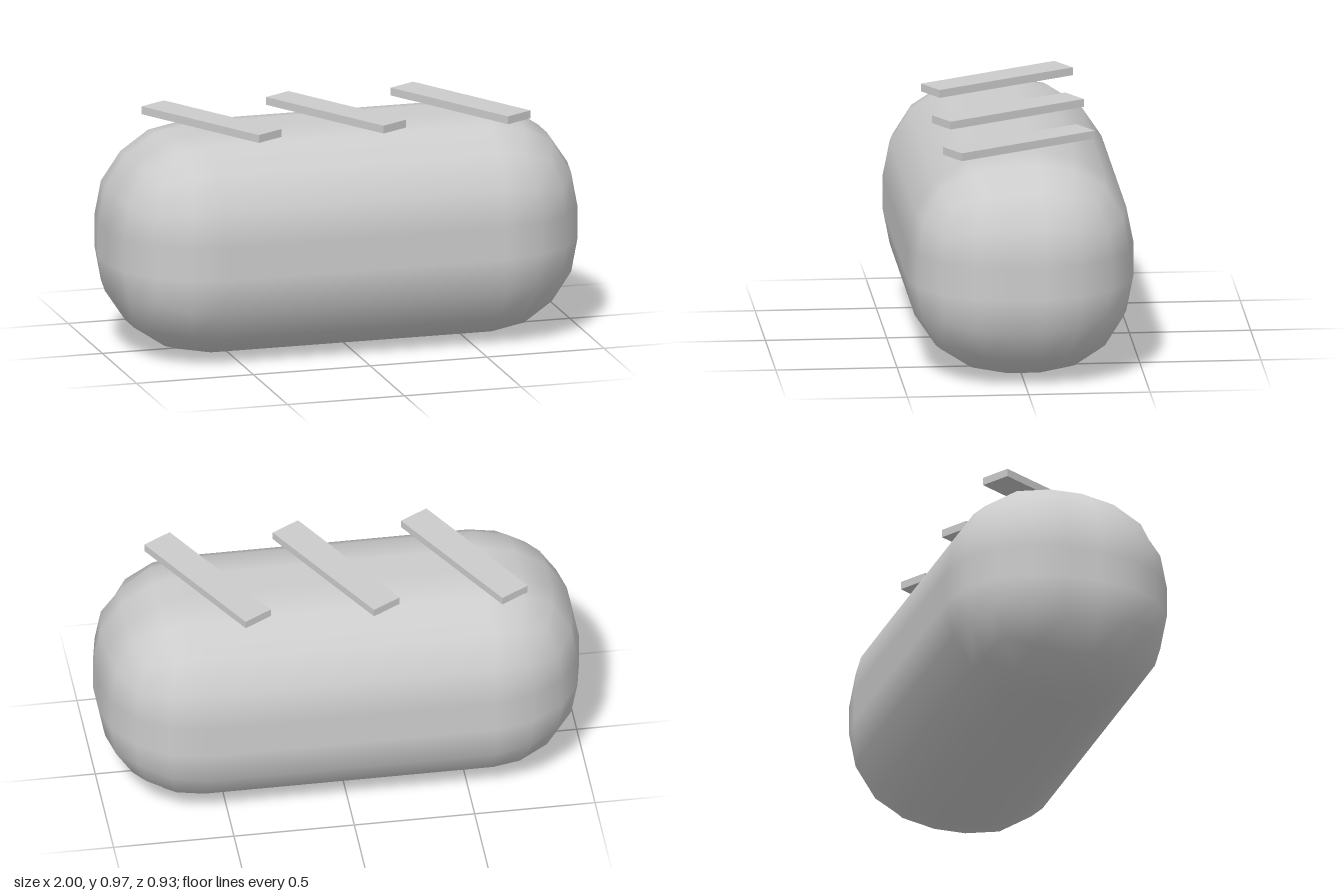
import * as THREE from 'three';

// Rounded box: each corner is a sphere octant with 22.5 degree steps
function roundedBox(width, height, depth, radius) {
  const geometry = new THREE.BoxGeometry(2, 2, 2, 5, 5, 5);
  const { position, normal } = geometry.attributes;
  const step = Math.tan(Math.PI / 8);
  const slopes = [-1, -step, 0, 0, step, 1];
  const core = [width, height, depth].map((size) => size / 2 - radius);
  const dir = new THREE.Vector3();
  for (let i = 0; i < position.count; i++) {
    const k = [0, 1, 2].map((axis) => Math.round((position.getComponent(i, axis) + 1) * 2.5));
    dir.set(slopes[k[0]], slopes[k[1]], slopes[k[2]]).normalize();
    k.forEach((index, axis) => {
      const side = index < 3 ? -1 : 1;
      position.setComponent(i, axis, side * core[axis] + dir.getComponent(axis) * radius);
    });
    normal.setXYZ(i, dir.x, dir.y, dir.z);
  }
  return geometry;
}

export function createModel() {
  const group = new THREE.Group();
  group.name = 'loaf';
  const grey = new THREE.MeshStandardMaterial({ color: 0xcccccc });
  grey.name = 'light grey';

  // Rounded loaf body
  const height = 0.9333;
  const body = new THREE.Mesh(roundedBox(2, height, height, 0.4), grey);
  body.name = 'body';
  body.position.y = height / 2;
  group.add(body);

  // Three slanted strips resting on top
  const stripGeometry = new THREE.BoxGeometry(0.1333, 0.0333, 0.6667);
  for (let i = -1; i <= 1; i++) {
    const strip = new THREE.Mesh(stripGeometry, grey);
    strip.name = `topStrip${i + 2}`;
    strip.position.set(i * 0.5333, 0.95, 0);
    strip.rotation.y = Math.PI / 6;
    group.add(strip);
  }
  return group;
}
